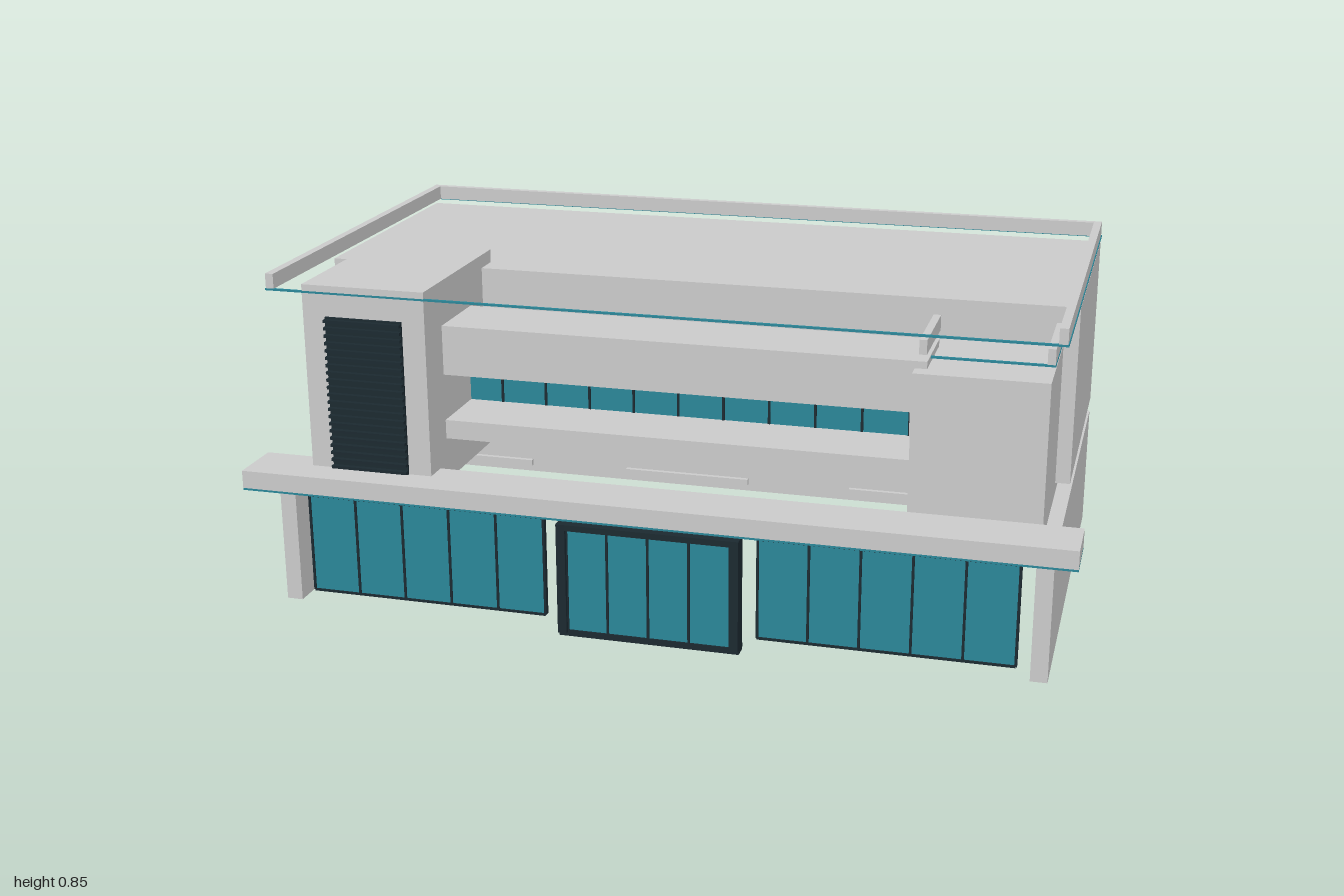
import * as THREE from 'three';

const grey = new THREE.MeshStandardMaterial({ color: 0xcccccc });
const glass = new THREE.MeshStandardMaterial({ color: 0x2a8799 });
const dark = new THREE.MeshStandardMaterial({ color: 0x1b2930 });

export function createModel() {
  const model = new THREE.Group();

  // Box given by its lower and upper limits on each axis
  function box(name, x0, x1, y0, y1, z0, z1, material = grey, parent = model) {
    const mesh = new THREE.Mesh(new THREE.BoxGeometry(x1 - x0, y1 - y0, z1 - z0), material);
    mesh.name = name;
    mesh.position.set((x0 + x1) / 2, (y0 + y1) / 2, (z0 + z1) / 2);
    parent.add(mesh);
    return mesh;
  }

  function group(name) {
    const g = new THREE.Group();
    g.name = name;
    model.add(g);
    return g;
  }

  // Thin rectangular light strip running round an outline
  function lightStrip(name, x0, x1, y, z0, z1) {
    const g = group(name), t = 0.006;
    for (const x of [x0, x1 - t]) box('sideStrip', x, x + t, y, y + 0.005, z0, z1, glass, g);
    for (const z of [z0, z1 - t]) box('crossStrip', x0 + t, x1 - t, y, y + 0.005, z, z + t, glass, g);
  }

  // Glazing with evenly spaced mullions and a dark surround
  function glazing(name, x0, x1, y0, y1, z, panes, rim) {
    const g = group(name), t = 0.003;
    box('pane', x0, x1, y0, y1, z - 0.004, z + 0.004, glass, g);
    for (let i = 0; i <= panes; i++) {
      const x = x0 + (x1 - x0) * i / panes;
      box('mullion', x - t, x + t, y0, y1, z - 0.007, z + 0.007, dark, g);
    }
    if (rim) for (const y of [y0, y1]) box('rail', x0, x1, y - t, y + t, z - 0.007, z + 0.007, dark, g);
    return g;
  }

  // Lower storey: back and side walls, open at the front
  box('lowerBackWall', -0.94, 0.94, 0.016, 0.325, -0.572, -0.535);
  for (const s of [-1, 1]) {
    const x = s * 0.92;
    box('lowerSideWall', x - 0.02, x + 0.02, 0.016, 0.325, -0.535, 0.495);
  }

  // Shop windows with planters behind them
  for (const s of [-1, 1]) {
    const x = s * 0.564;
    glazing('shopWindow', x - 0.302, x + 0.302, 0.045, 0.295, 0.483, 5, true);
    box('planter', s * 0.503 - 0.123, s * 0.503 + 0.123, 0.02, 0.15, 0.22, 0.315, dark);
  }

  // Entrance: dark portal around glazed doors
  const entrance = group('entrance');
  for (const x of [-0.225, 0.198]) box('doorPost', x, x + 0.022, 0.01, 0.29, 0.465, 0.507, dark, entrance);
  box('doorLintel', -0.203, 0.198, 0.275, 0.29, 0.465, 0.507, dark, entrance);
  box('doorSill', -0.225, 0.22, 0, 0.016, 0.46, 0.497, dark, entrance);
  box('doorBacking', -0.203, 0.198, 0.016, 0.275, 0.47, 0.483, dark, entrance);
  entrance.add(glazing('doors', -0.203, 0.198, 0.016, 0.275, 0.49, 4, false));

  // Canopy over the shop front
  box('canopy', -0.997, 0.997, 0.332, 0.376, 0.435, 0.573);
  lightStrip('canopyLight', -0.997, 0.997, 0.327, 0.435, 0.573);

  // Ceiling bars behind the front
  for (const [x0, x1] of [[-0.6, -0.41], [-0.16, 0.155], [0.41, 0.6]]) {
    box('ceilingBar', x0, x1, 0.293, 0.308, 0.135, 0.146);
  }

  // Upper storey
  box('upperStorey', -0.94, 0.94, 0.361, 0.797, -0.572, 0.116);

  // Roof parapet on three sides, with its light strip
  box('backParapet', -0.94, 0.94, 0.814, 0.85, -0.574, -0.555);
  for (const s of [-1, 1]) {
    box('sideParapet', s * 0.93 - 0.01, s * 0.93 + 0.01, 0.814, 0.85, -0.555, 0.493);
  }
  lightStrip('roofLight', -0.942, 0.942, 0.809, -0.576, 0.493);

  // Louvred tower
  box('tower', -0.848, -0.54, 0.33, 0.83, 0.052, 0.493);
  const louvre = group('louvre');
  box('louvreBacking', -0.79, -0.597, 0.376, 0.755, 0.493, 0.499, dark, louvre);
  for (let i = 0; i < 21; i++) {
    const y = 0.38 + i * 0.0182;
    box('slat', -0.79, -0.597, y, y + 0.007, 0.497, 0.511, dark, louvre);
  }

  // Side block with its small roof rails
  box('sideBlock', 0.597, 0.905, 0.33, 0.705, -0.005, 0.43);
  for (const x of [0.598, 0.887]) box('blockRail', x, x + 0.018, 0.72, 0.757, 0.1, 0.337);
  lightStrip('blockLight', 0.597, 0.906, 0.715, 0.1, 0.337);

  // Balcony beams and the window band between them
  box('upperBeam', -0.55, 0.625, 0.6, 0.722, 0.2, 0.39);
  box('lowerBeam', -0.55, 0.6, 0.438, 0.485, 0.2, 0.39);
  glazing('bandWindow', -0.568, 0.565, 0.485, 0.6, 0.215, 10, false);
  box('bandEnd', 0.565, 0.6, 0.485, 0.6, 0.205, 0.225);

  return model;
}
